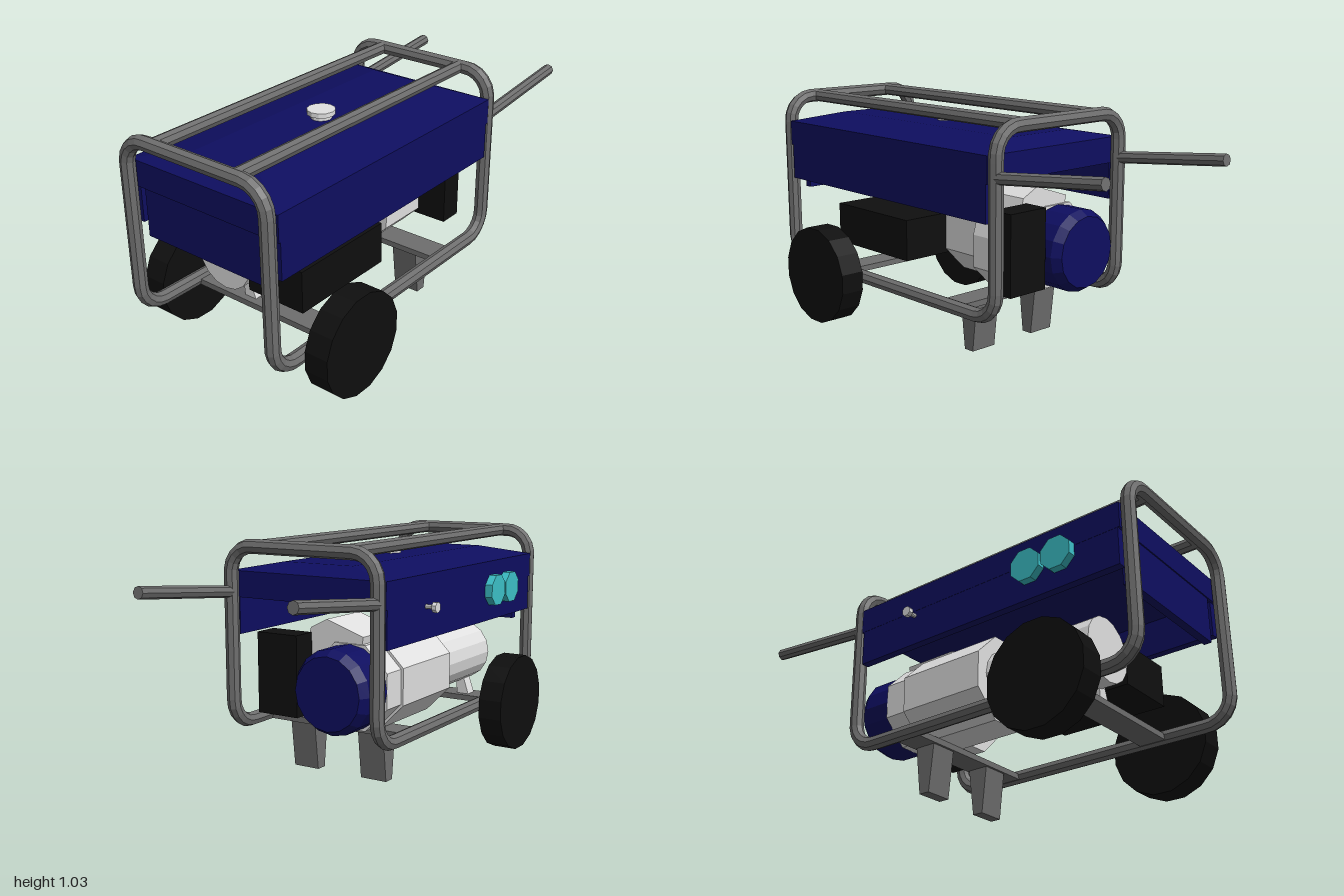
import * as THREE from 'three';
import { ConvexGeometry } from 'three/addons/geometries/ConvexGeometry.js';

const V = (x, y, z) => new THREE.Vector3(x, y, z);

export function createModel() {
  const model = new THREE.Group();
  model.name = 'portableGenerator';

  const paint = (name, color) => {
    const m = new THREE.MeshStandardMaterial({ color });
    m.name = name;
    return m;
  };
  const steel = paint('frameGrey', 0x6e6e6e);
  const blue = paint('darkBlue', 0x0e0e60);
  const silver = paint('lightGrey', 0xe0e0e0);
  const black = paint('black', 0x0f0f0f);
  const teal = paint('teal', 0x3cc0c8);

  // faceted mesh: every face keeps its own normal
  const add = (name, geometry, material) => {
    const g = geometry.index ? geometry.toNonIndexed() : geometry;
    g.computeVertexNormals();
    const mesh = new THREE.Mesh(g, material);
    mesh.name = name;
    model.add(mesh);
    return mesh;
  };
  // box given by its low and high limits
  const box = (name, mat, [x0, x1], [y0, y1], [z0, z1]) =>
    add(name, new THREE.BoxGeometry(x1 - x0, y1 - y0, z1 - z0)
      .translate((x0 + x1) / 2, (y0 + y1) / 2, (z0 + z1) / 2), mat);
  // convex solid from stacked rectangles [x0, x1, y, z0, z1]
  const stack = (name, mat, rings) => {
    const pts = [];
    for (const [x0, x1, y, z0, z1] of rings)
      for (const x of [x0, x1]) for (const z of [z0, z1]) pts.push(V(x, y, z));
    return add(name, new ConvexGeometry(pts), mat);
  };
  // cylinder along z: r0 at z0, r1 at z1
  const zCylinder = (name, mat, x, y, z0, z1, r0, r1, sides, turn = 0) =>
    add(name, new THREE.CylinderGeometry(r1, r0, z1 - z0, sides).rotateY(turn)
      .rotateX(Math.PI / 2).translate(x, y, (z0 + z1) / 2), mat);
  // cylinder along x
  const xCylinder = (name, mat, x0, x1, y, z, r, sides) =>
    add(name, new THREE.CylinderGeometry(r, r, x1 - x0, sides).rotateY(Math.PI / sides)
      .rotateZ(Math.PI / 2).translate((x0 + x1) / 2, y, z), mat);
  // straight bar between two points
  const bar = (name, a, b, r) =>
    add(name, new THREE.TubeGeometry(new THREE.LineCurve3(a, b), 1, r, 8), steel);

  // tubular frame: one closed loop with rounded corners
  const corners = [
    V(-0.36, 0.23, 0.97), V(-0.36, 1, 0.97), V(0.36, 1, 0.97), V(0.36, 0.23, 0.97),
    V(0.36, 0.23, -0.45), V(0.36, 1, -0.45), V(-0.36, 1, -0.45), V(-0.36, 0.23, -0.45),
  ];
  const loop = new THREE.CurvePath();
  const toward = (a, b, d) => a.clone().add(b.clone().sub(a).setLength(d));
  corners.forEach((c, i) => {
    const prev = corners[(i + 7) % 8], next = corners[(i + 1) % 8];
    const start = toward(c, prev, 0.11), end = toward(c, next, 0.11);
    loop.add(new THREE.CubicBezierCurve3(start, toward(start, c, 0.06), toward(end, c, 0.06), end));
    loop.add(new THREE.LineCurve3(end, toward(next, c, 0.11)));
  });
  add('tubeFrame', new THREE.TubeGeometry(loop, 200, 0.031, 8, true), steel);

  // roof rails, handles, wheels and feet, mirrored
  for (const s of [1, -1]) {
    const side = s > 0 ? 'left' : 'right';
    bar(side + 'RoofRail', V(s * 0.21, 1, -0.45), V(s * 0.21, 1, 0.97), 0.029);
    const a = V(s * 0.36, 0.805, -0.45), b = V(s * 0.36, 0.861, -0.998);
    bar(side + 'Handle', a, b, 0.026);
    // closed grip end
    add(side + 'HandleEnd', new THREE.CylinderGeometry(0.026, 0.026, 0.004, 8)
      .rotateX(-Math.PI / 2 + 0.1).translate(b.x, b.y, b.z), steel);
    xCylinder(side + 'Wheel', black, s > 0 ? 0.39 : -0.5, s > 0 ? 0.5 : -0.39, 0.223, 0.61, 0.223, 16);
    const x0 = s > 0 ? 0.112 : -0.238, x1 = x0 + 0.126;
    stack(side + 'Foot', steel, [[x0, x1, 0.22, -0.205, -0.105], [x0, x1, 0, -0.18, -0.13]]);
    box(side + 'SidePanel', blue, s > 0 ? [0.345, 0.382] : [-0.382, -0.345], [0.62, 0.79], [-0.415, 0.93]);
  }
  for (const [name, z] of [['frontCrossbar', 0.61], ['rearCrossbar', -0.155]])
    box(name, steel, [-0.36, 0.36], [0.21, 0.236], [z - 0.06, z + 0.06]);

  // fuel tank with bevelled roof, and the panel below it
  stack('fuelTank', blue, [
    [-0.383, 0.383, 0.78, -0.425, 0.94],
    [-0.383, 0.383, 0.892, -0.425, 0.94],
    [-0.17, 0.17, 0.932, -0.33, 0.8],
  ]);
  box('frontPanel', blue, [-0.315, 0.313], [0.57, 0.79], [0.9, 0.935]);
  add('fuelCapNeck', new THREE.CylinderGeometry(0.045, 0.045, 0.04, 12).translate(0, 0.935, 0.25), silver);
  add('fuelCap', new THREE.CylinderGeometry(0.06, 0.06, 0.02, 12).translate(0, 0.96, 0.25), silver);

  // sockets and switch on the right side
  for (const z of [0.515, 0.662]) xCylinder('socket', teal, -0.418, -0.38, 0.76, z, 0.074, 8);
  xCylinder('switchStem', silver, -0.42, -0.38, 0.757, -0.105, 0.01, 8);
  xCylinder('switchKnob', silver, -0.438, -0.418, 0.757, -0.105, 0.023, 8);

  // alternator and crankcase on one axis
  const cx = -0.14, cy = 0.428, flat = Math.PI / 8;
  zCylinder('alternator', silver, cx, cy, 0.2, 0.71, 0.14, 0.14, 16);
  zCylinder('crankcase', silver, cx, cy, -0.2, 0.21, 0.207, 0.207, 8, flat);
  zCylinder('rearHousing', silver, cx, cy, -0.31, -0.2, 0.195, 0.195, 8, flat);
  zCylinder('starterCover', blue, cx, cy, -0.44, -0.31, 0.18, 0.18, 16);
  zCylinder('starterCoverRim', blue, cx, cy, -0.48, -0.44, 0.155, 0.18, 16);

  // engine block leaning towards the left
  const outline = [[-0.12, 0.24], [0.03, 0.24], [0.115, 0.325], [0.115, 0.47], [0.06, 0.66], [-0.02, 0.7], [-0.2, 0.64]];
  add('engineBlock', new THREE.ExtrudeGeometry(
    new THREE.Shape(outline.map(([x, y]) => new THREE.Vector2(x, y))),
    { depth: 0.25, bevelEnabled: false }).translate(0, 0, -0.3), silver);

  // alternator feet
  for (const s of [1, -1]) {
    const a = cx + s * 0.1, b = cx + s * 0.04, c = cx + s * 0.075, d = cx + s * 0.035;
    stack('alternatorFoot', silver, [[a, b, 0.235, 0.58, 0.64], [c, d, 0.31, 0.58, 0.64]]);
  }

  // black control box and muffler
  box('controlBox', black, [-0.005, 0.28], [0.33, 0.515], [0.205, 0.71]);
  box('muffler', black, [0.05, 0.25], [0.292, 0.64], [-0.42, -0.31]);

  return model;
}
